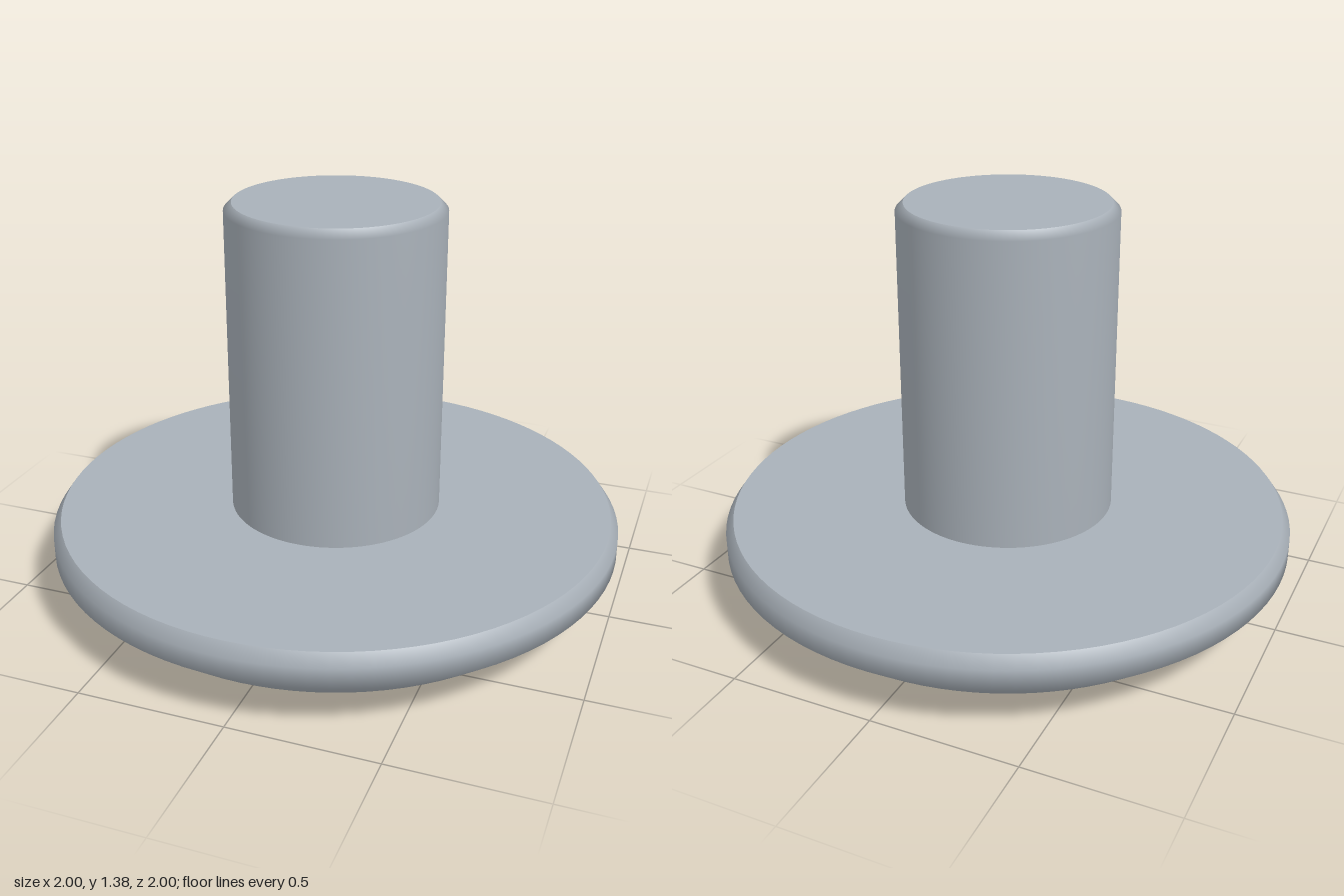
import * as THREE from 'three';

const SEGMENTS = 96;

export function createModel() {
  const model = new THREE.Group();
  const steel = new THREE.MeshStandardMaterial({ color: 0xa9b1b9 });
  steel.name = 'steel grey';

  // Each turned section is smooth within itself; creases fall between sections.
  const turn = (name, profile, parent) => {
    const points = profile.map(([r, y]) => new THREE.Vector2(r, y));
    const mesh = new THREE.Mesh(new THREE.LatheGeometry(points, SEGMENTS), steel);
    mesh.name = name;
    parent.add(mesh);
  };

  // Wide shallow head
  const head = new THREE.Group();
  head.name = 'head';
  model.add(head);
  turn('headCrown', [[0, 0], [0.56, 0.018]], head);
  turn('headSlope', [[0.56, 0.018], [0.88, 0.08]], head);
  turn('headRim', [[0.88, 0.08], [1, 0.18], [1, 0.25], [0.972, 0.29]], head);
  turn('headShoulder', [[0.972, 0.29], [0.37, 0.29]], head);

  // Plain shank with a small chamfer at its end
  const shank = new THREE.Group();
  shank.name = 'shank';
  model.add(shank);
  turn('shankSide', [[0.37, 0.29], [0.37, 1.353], [0.343, 1.38]], shank);
  turn('shankEnd', [[0.343, 1.38], [0, 1.38]], shank);

  return model;
}
